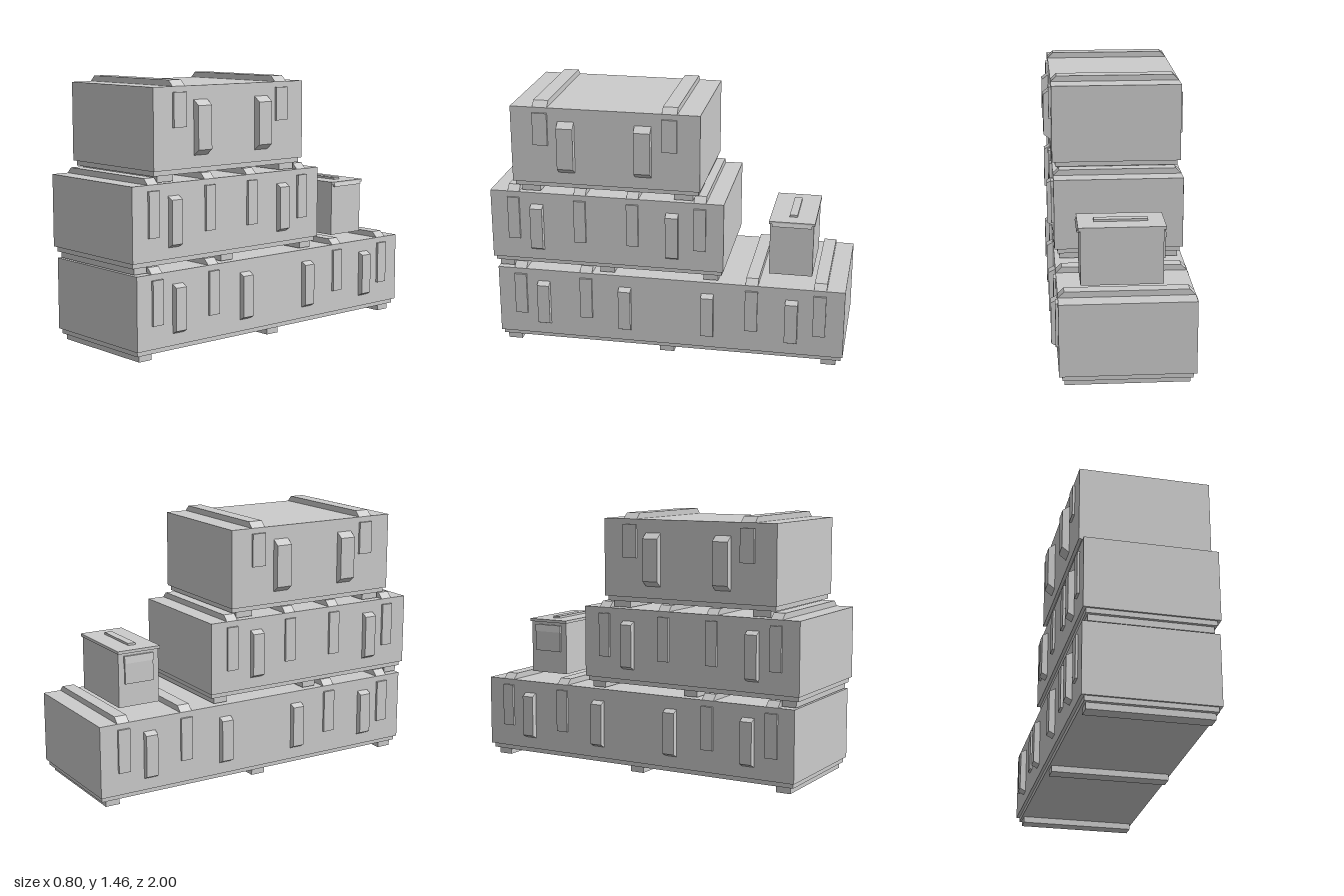
import * as THREE from 'three';

const material = new THREE.MeshStandardMaterial({ color: 0xcccccc, flatShading: true });

function add(parent, name, geometry) {
  const mesh = new THREE.Mesh(geometry, material);
  mesh.name = name;
  parent.add(mesh);
  return mesh;
}

// Box given by its limits on each axis
function block(parent, name, [x0, x1], [y0, y1], [z0, z1]) {
  const mesh = add(parent, name, new THREE.BoxGeometry(x1 - x0, y1 - y0, z1 - z0));
  mesh.position.set((x0 + x1) / 2, (y0 + y1) / 2, (z0 + z1) / 2);
}

// Outline in x and y, extruded along z around a centre
function prism(parent, name, points, z, width) {
  const shape = new THREE.Shape(points.map(([x, y]) => new THREE.Vector2(x, y)));
  const geometry = new THREE.ExtrudeGeometry(shape, { depth: width, bevelEnabled: false });
  add(parent, name, geometry).position.z = z - width / 2;
}

function crate(name, c) {
  const group = new THREE.Group();
  group.name = name;
  group.position.x = c.x;
  const w = c.half;
  const [y0, y1] = c.y;
  const [z0, z1] = c.z;
  block(group, 'crateBody', [-w, w], [y0, y1], [z0, z1]);
  block(group, 'basePlate', [-w + 0.017, w - 0.017], [y0 - 0.027, y0], [z0 + 0.011, z1 - 0.011]);

  // Crosswise runners under the base
  for (const z of c.skids) {
    block(group, 'skid', [-0.33, 0.33], [y0 - 0.062, y0 - 0.027], [z - c.skidWidth / 2, z + c.skidWidth / 2]);
  }

  // Bevelled lid battens with flat battens on both sides
  for (const z of c.battens) {
    prism(group, 'lidBatten', [[-w, y1], [w, y1], [w - 0.033, y1 + 0.032], [-w + 0.033, y1 + 0.032]], z, c.battenWidth);
    for (const s of [-1, 1]) {
      const xs = [s * w, s * (w + 0.013)].sort((a, b) => a - b);
      block(group, 'sideBatten', xs, c.battenY, [z - c.battenWidth / 2, z + c.battenWidth / 2]);
    }
  }

  // Chunky clasps with sloped ends
  const [a, b] = c.claspY;
  for (const z of c.clasps) {
    for (const s of [-1, 1]) {
      const outer = w + c.claspDepth;
      const points = [[w, a], [outer, a + c.claspSlope], [outer, b - c.claspSlope], [w, b]];
      prism(group, 'clasp', points.map(([x, y]) => [s * x, y]), z, c.claspWidth);
    }
  }
  return group;
}

// Small box with an overhanging lid
function smallBox() {
  const group = new THREE.Group();
  group.name = 'smallBox';
  block(group, 'boxBody', [-0.205, 0.232], [0.49, 0.79], [-0.805, -0.563]);
  block(group, 'boxLid', [-0.217, 0.243], [0.791, 0.807], [-0.811, -0.557]);
  block(group, 'lidHandle', [-0.13, 0.156], [0.807, 0.819], [-0.706, -0.662]);
  // Hinge strip on one side, latch on the other
  prism(group, 'hinge', [[0.232, 0.779], [0.25, 0.779], [0.243, 0.799], [0.232, 0.799]], -0.684, 0.22);
  block(group, 'latchPlate', [-0.216, -0.205], [0.62, 0.735], [-0.77, -0.6]);
  prism(group, 'latchLip', [[-0.205, 0.735], [-0.205, 0.775], [-0.217, 0.775], [-0.222, 0.735]], -0.685, 0.175);
  return group;
}

export function createModel() {
  const model = new THREE.Group();
  model.name = 'crateStack';

  model.add(crate('bottomCrate', {
    x: -0.005, half: 0.359, y: [0.062, 0.46], z: [-1, 0.976],
    skids: [0.903, 0, -0.92], skidWidth: 0.082,
    battens: [0.845, 0.462, -0.483, -0.863], battenWidth: 0.07, battenY: [0.187, 0.428],
    clasps: [0.708, 0.236, -0.236, -0.708], claspWidth: 0.07,
    claspY: [0.126, 0.391], claspDepth: 0.033, claspSlope: 0.017,
  }));
  model.add(crate('middleCrate', {
    x: -0.005, half: 0.359, y: [0.527, 0.926], z: [-0.322, 1],
    skids: [0.93, 0.342, -0.25], skidWidth: 0.082,
    battens: [0.867, 0.487, 0.188, -0.19], battenWidth: 0.067, battenY: [0.65, 0.894],
    clasps: [0.732, -0.036], claspWidth: 0.07,
    claspY: [0.587, 0.858], claspDepth: 0.033, claspSlope: 0.018,
  }));
  model.add(crate('topCrate', {
    x: -0.002, half: 0.36, y: [0.992, 1.423], z: [-0.19, 0.863],
    skids: [0.767, -0.095], skidWidth: 0.105,
    battens: [0.696, -0.023], battenWidth: 0.083, battenY: [1.211, 1.393],
    clasps: [0.551, 0.123], claspWidth: 0.092,
    claspY: [1.058, 1.35], claspDepth: 0.04, claspSlope: 0.03,
  }));
  model.add(smallBox());
  return model;
}
